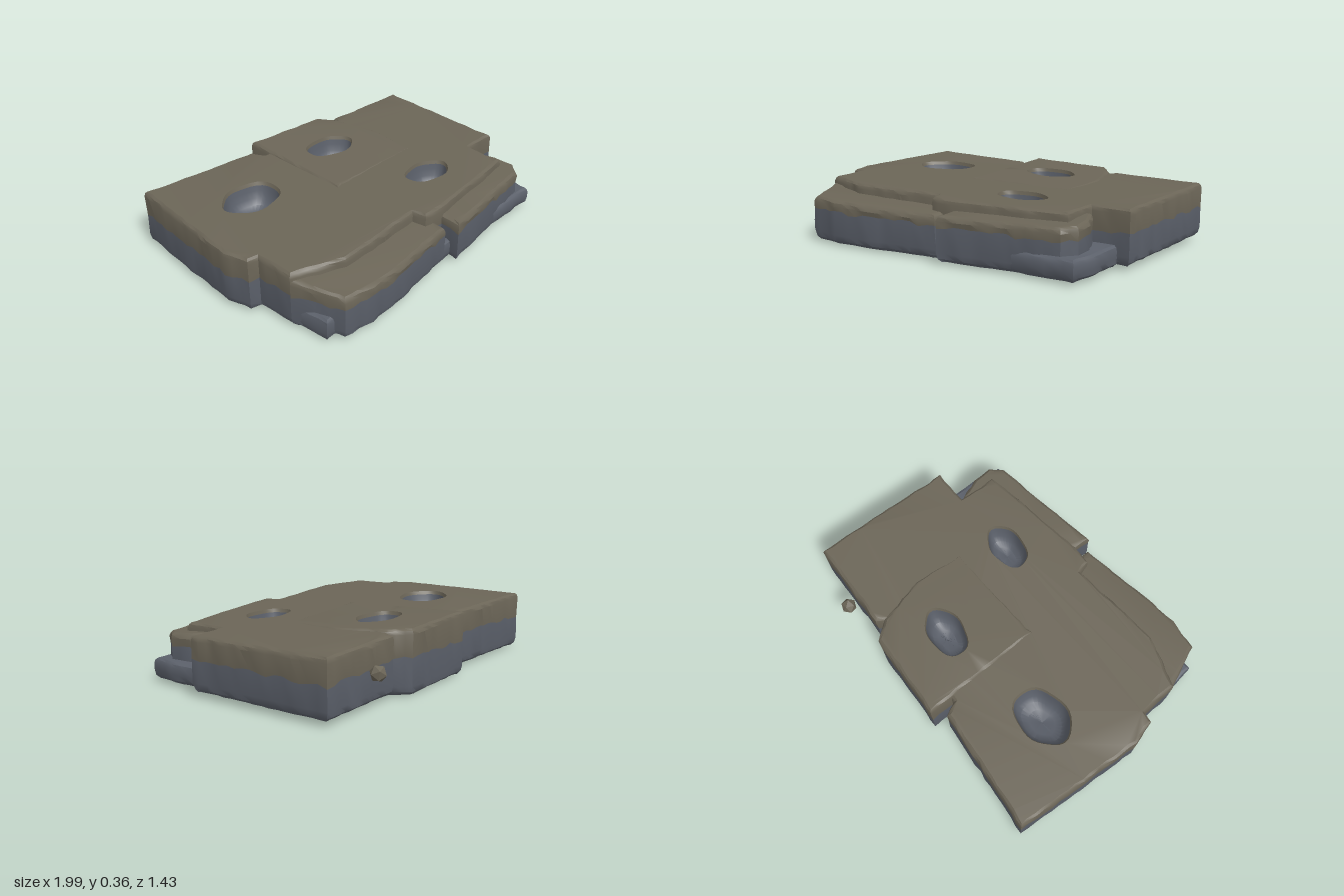
import * as THREE from 'three';
import { toCreasedNormals } from 'three/addons/utils/BufferGeometryUtils.js';

const brown = new THREE.MeshStandardMaterial({ color: 0x6b6557 });
const grey = new THREE.MeshStandardMaterial({ color: 0x5b606a });

// repeatable roughness in the range -1..1
const rough = (a, b) => {
  const s = Math.sin(a * 12.9898 + b * 78.233) * 43758.5453;
  return (s - Math.floor(s)) * 2 - 1;
};
const area = (p) => p.reduce((s, a, i) => {
  const b = p[(i + 1) % p.length];
  return s + a[0] * b[1] - b[0] * a[1];
}, 0);

// tilted plane: height at (x, z)
const plane = (a, bx = 0, bz = 0) => (x, z) => a + bx * x + bz * z;

function makeMesh(name, tris, material) {
  const g = new THREE.BufferGeometry();
  g.setAttribute('position', new THREE.Float32BufferAttribute(tris.flat(2), 3));
  const mesh = new THREE.Mesh(toCreasedNormals(g, 0.55), material);
  mesh.name = name;
  return mesh;
}

// wall between two rings of points, facing outward
function wall(lower, upper) {
  const out = [];
  lower.forEach((a, i) => {
    const j = (i + 1) % lower.length;
    out.push([a, upper[i], upper[j]], [a, upper[j], lower[j]]);
  });
  return out;
}

// flat cap with optional holes, facing up or down
function cap(ring, holes, up) {
  const all = [ring, ...holes].flat();
  const v2 = (r) => r.map((p) => new THREE.Vector2(p[0], p[2]));
  return THREE.ShapeUtils.triangulateShape(v2(ring), holes.map(v2)).map((f) => {
    const t = f.map((i) => all[i]);
    const facesUp = area(t.map((p) => [p[0], p[2]])) < 0;
    return facesUp === up ? t : [t[0], t[2], t[1]];
  });
}

// outline cut into short pieces with slightly rough edges
function resample(outline, step = 0.05) {
  const src = area(outline) > 0 ? outline : [...outline].reverse();
  const pts = [];
  src.forEach((a, i) => {
    const b = src[(i + 1) % src.length];
    const n = Math.max(1, Math.round(Math.hypot(b[0] - a[0], b[1] - a[1]) / step));
    for (let k = 0; k < n; k++) {
      const r = k ? 0.004 : 0;
      pts.push([a[0] + (b[0] - a[0]) * k / n + r * rough(i, k),
        a[1] + (b[1] - a[1]) * k / n + r * rough(k, i + 7)]);
    }
  });
  return pts;
}

// stone block: worn edges, grey below the split height and brown above it
function block(name, outline, bottom, top, { split = 0.2, holes = [] } = {}) {
  const group = new THREE.Group();
  group.name = name;
  const pts = resample(outline);
  const n = pts.length;
  const ring = (inset, height, wobble) => pts.map((p, i) => {
    const a = pts[(i + n - 1) % n], b = pts[(i + 1) % n];
    const dx = b[0] - a[0], dz = b[1] - a[1], l = Math.hypot(dx, dz) || 1;
    const d = inset + wobble * rough(i, inset * 100 + 3);
    const x = p[0] - dz / l * d, z = p[1] + dx / l * d;
    return [x, height(x, z, i), z];
  });
  const low = [
    ring(0.028, bottom, 0.004),
    ring(0.008, (x, z) => bottom(x, z) + 0.018, 0.004),
    ring(0, (x, z) => bottom(x, z) + 0.05, 0.003),
  ];
  const high = [
    ring(0, (x, z) => top(x, z) - 0.028, 0.003),
    ring(0.006, (x, z) => top(x, z) - 0.01, 0.003),
    ring(0.02, top, 0.003),
  ];
  const middle = ring(0.002, (x, z, i) =>
    Math.min(split + 0.012 * rough(i, 5), top(x, z) - 0.03), 0.003);
  const greyRings = split ? [...low, middle] : [...low, ...high];
  const brownRings = split ? [middle, ...high] : [];
  const stack = (rings) => rings.slice(1).flatMap((r, i) => wall(rings[i], r));
  const topCap = cap(high[2], holes.map((h) => h.map(([x, z]) => [x, top(x, z), z])), true);
  const greyTris = [...cap(low[0], [], false), ...stack(greyRings)];
  if (!split) greyTris.push(...topCap);
  group.add(makeMesh(name + 'Lower', greyTris, grey));
  if (split) group.add(makeMesh(name + 'Upper', [...stack(brownRings), ...topCap], brown));
  return group;
}

// uneven oval rim of a hollow
function rim(cx, cz, rx, rz, seed) {
  return Array.from({ length: 32 }, (_, i) => {
    const a = i / 32 * Math.PI * 2;
    const k = 1 + 0.05 * Math.sin(2 * a + seed) + 0.03 * Math.sin(5 * a + seed * 2);
    return [cx + rx * k * Math.cos(a), cz + rz * k * Math.sin(a)];
  });
}

// bowl below the rim, its lip brown and its floor grey
function hollow(name, edge, top) {
  const group = new THREE.Group();
  group.name = name;
  const cx = edge.reduce((s, p) => s + p[0], 0) / edge.length;
  const cz = edge.reduce((s, p) => s + p[1], 0) / edge.length;
  const rings = [[1, 0], [0.95, 0.02], [0.91, 0.05], [0.84, 0.09], [0.7, 0.125],
    [0.45, 0.145], [0.02, 0.15]].map(([s, d]) => edge.map(([x, z]) =>
    [cx + (x - cx) * s, top(x, z) - d, cz + (z - cz) * s]));
  const strips = rings.slice(1).map((r, i) => wall(rings[i], r));
  const floor = cap(rings[6], [], true);
  group.add(makeMesh(name + 'Lip', strips[0], brown));
  group.add(makeMesh(name + 'Bowl', [...strips.slice(1).flat(), ...floor], grey));
  return group;
}

export function createModel() {
  const model = new THREE.Group();
  model.name = 'stoneSlab';

  const slabTop = plane(0.329, -0.003, -0.013);
  const plateTop = plane(0.333, -0.012, -0.034);
  const leftHollow = rim(0.34, 0.24, 0.145, 0.1, 1);
  const rightHollow = rim(-0.57, -0.25, 0.175, 0.14, 2.4);
  const backHollow = rim(0.14, -0.36, 0.155, 0.105, 0.5);

  // main slab
  model.add(block('mainSlab', [
    [-0.95, -0.71], [-0.6, -0.68], [-0.24, -0.645], [-0.2, -0.57], [0.4, -0.57],
    [0.44, -0.63], [0.99, -0.61], [0.985, -0.2], [0.97, 0.23], [0.755, 0.23], [0.755, 0.46],
    [0.4, 0.51], [0.1, 0.55], [-0.03, 0.545], [-0.05, 0.47], [-0.35, 0.5], [-0.6, 0.52],
    [-0.89, 0.42], [-0.9, 0.2], [-0.96, 0.19], [-1, 0.05], [-0.975, -0.4],
  ], plane(0.02, 0.01), slabTop, { holes: [leftHollow, rightHollow, backHollow] }));

  // slightly raised plate at the back, sinking into the slab toward the front
  model.add(block('backPlate', [
    [-0.18, -0.71], [0.1, -0.7], [0.34, -0.685], [0.42, -0.58], [0.5, -0.3],
    [0.48, 0], [-0.17, 0.02],
  ], plane(0.003), plateTop, { holes: [backHollow] }));

  // hollows in the top
  model.add(hollow('frontHollow', leftHollow, slabTop));
  model.add(hollow('rightHollow', rightHollow, slabTop));
  model.add(hollow('backHollow', backHollow, plateTop));

  // low footing that shows along the front and at the left corner
  model.add(block('footing', [
    [-0.88, 0.42], [-0.85, 0.63], [-0.4, 0.64], [0.07, 0.62], [0.5, 0.605], [0.87, 0.6],
    [0.9, 0.45], [0.9, 0.2], [0.5, 0.1], [-0.8, 0.1],
  ], plane(0.012, 0.008), plane(0.133), { split: 0 }));

  // broken step along the front, in two pieces
  model.add(block('frontStepRight', [
    [-0.89, 0.42], [-0.83, 0.57], [-0.78, 0.685], [-0.6, 0.71], [-0.3, 0.675],
    [0.05, 0.62], [0.05, 0.45], [-0.6, 0.4],
  ], plane(0.012), plane(0.3, -0.03, -0.09), { split: 0.19 }));
  model.add(block('frontStepLeft', [
    [0.1, 0.5], [0.1, 0.67], [0.45, 0.615], [0.78, 0.57], [0.84, 0.5], [0.83, 0.38],
    [0.78, 0.26], [0.7, 0.26], [0.6, 0.42],
  ], plane(0.015), plane(0.305, 0.005, -0.07), { split: 0.2 }));

  // loose pebble behind the slab
  const pebble = new THREE.Mesh(new THREE.IcosahedronGeometry(0.045, 0),
    new THREE.MeshStandardMaterial({ color: 0x6b6557, flatShading: true }));
  pebble.name = 'pebble';
  pebble.position.set(0.67, 0.2, -0.68);
  pebble.rotation.set(0.4, 0.3, 0.2);
  model.add(pebble);

  return model;
}
